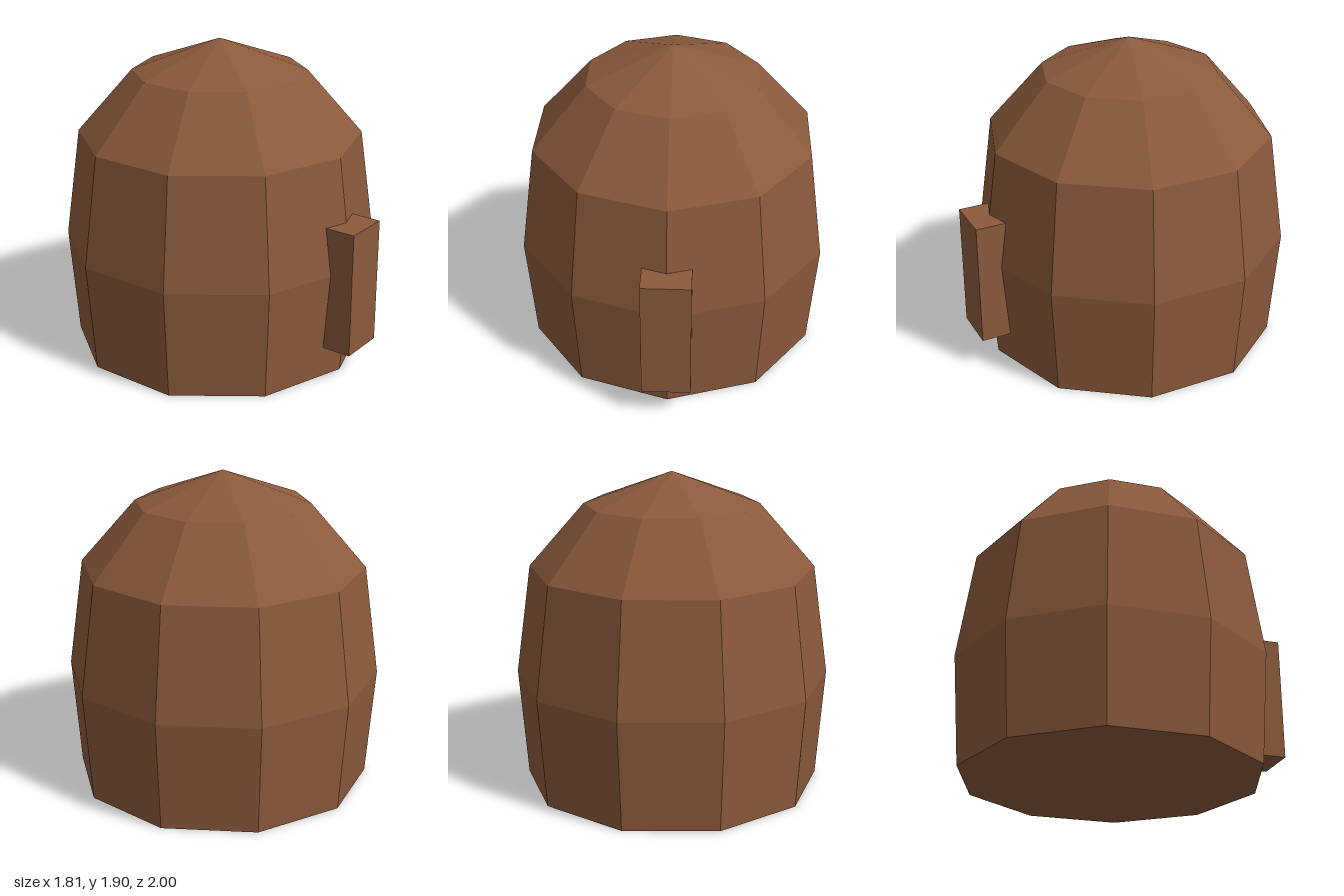
import * as THREE from 'three';

// faceted copy of a geometry: one normal per face
function faceted(geometry) {
  const flat = geometry.toNonIndexed();
  flat.computeVertexNormals();
  return flat;
}

export function createModel() {
  const model = new THREE.Group();
  model.name = 'domedHut';
  const brown = new THREE.MeshStandardMaterial({ color: 0x8b5a3c });
  brown.name = 'brown';

  // ten-sided dome, closed at the base, widest a third of the way up
  const profile = [
    [0, 0], [0.902, 0], [0.952, 0.667], [0.857, 1.333], [0.524, 1.714], [0, 1.905],
  ].map(([r, y]) => new THREE.Vector2(r, y));
  const dome = new THREE.Mesh(faceted(new THREE.LatheGeometry(profile, 10)), brown);
  dome.name = 'dome';
  dome.position.z = -0.048;
  model.add(dome);

  // door block standing out of the front corner
  const door = new THREE.Mesh(new THREE.BoxGeometry(0.286, 0.757, 0.19), brown);
  door.name = 'door';
  door.position.set(0, 0.574, 0.905);
  model.add(door);

  return model;
}
